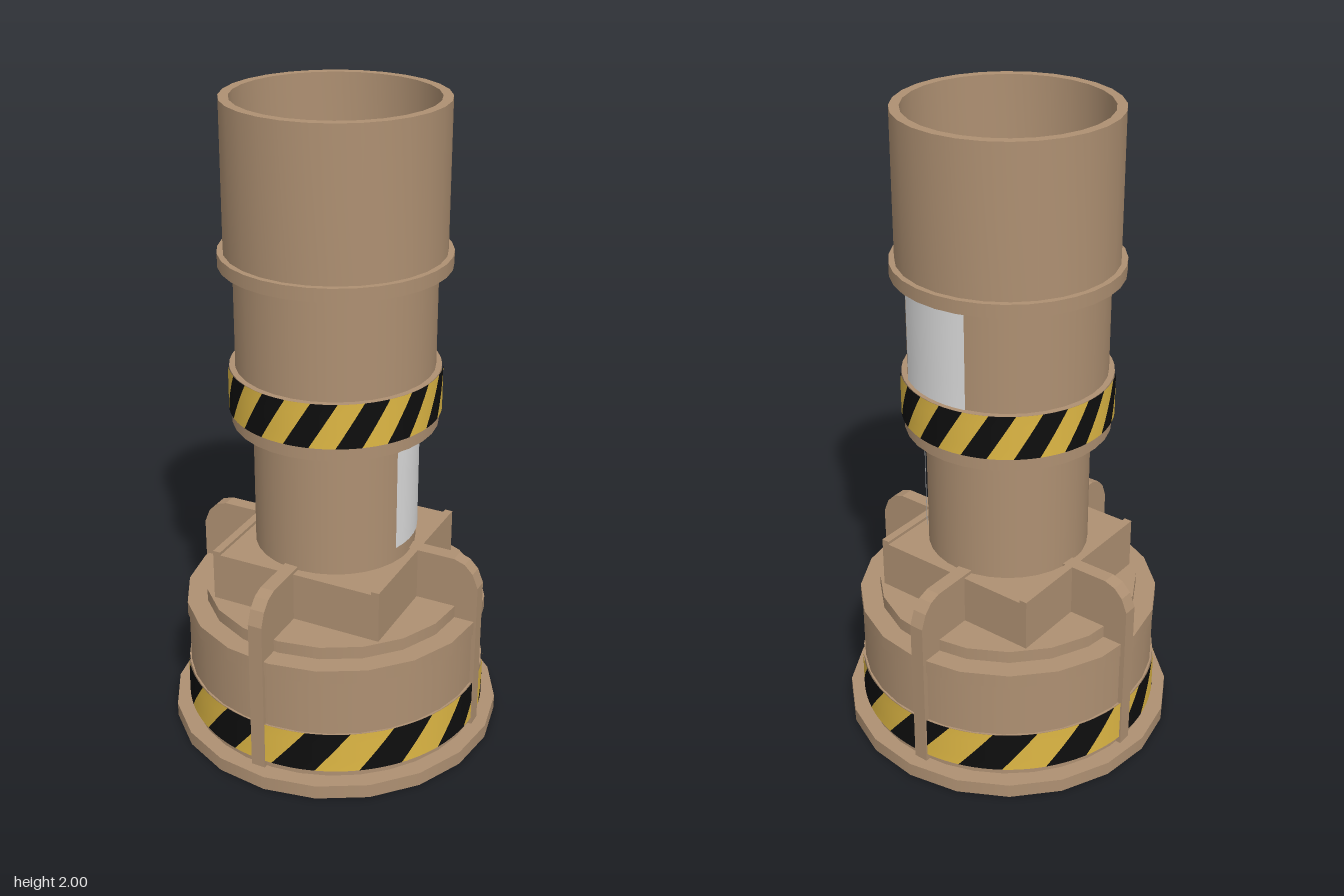
import * as THREE from 'three';
import { toCreasedNormals } from 'three/addons/utils/BufferGeometryUtils.js';

const paint = (name, color) => {
  const m = new THREE.MeshStandardMaterial({ color });
  m.name = name;
  return m;
};

export function createModel() {
  const tan = paint('tan metal', 0xae9072);
  const yellow = paint('hazard yellow', 0xdeb744);
  const black = paint('hazard black', 0x0e0e0e);
  const white = paint('label white', 0xdedede);
  const model = new THREE.Group();
  model.name = 'pipeColumn';

  const add = (name, geometry, material, parent = model) => {
    const mesh = new THREE.Mesh(geometry, material);
    mesh.name = name;
    parent.add(mesh);
    return mesh;
  };

  // Upright round part between two heights
  const round = (name, r, y0, y1, sides = 32) => {
    const g = new THREE.CylinderGeometry(r, r, y1 - y0, sides);
    g.rotateY(0.03).translate(0, (y0 + y1) / 2, 0);
    return add(name, g, tan);
  };

  // Plate wrapped round the axis; angles in degrees from the front towards +x, lean shears the top
  const wrap = (r, a0, a1, y0, y1, lean = 0) => {
    const g = new THREE.PlaneGeometry(1, 1, 8, 4);
    const p = g.attributes.position;
    for (let i = 0; i < p.count; i++) {
      const v = p.getY(i);
      const a = THREE.MathUtils.degToRad(a0 + (a1 - a0) * (p.getX(i) + 0.5) + lean * v);
      p.setXYZ(i, r * Math.sin(a), y0 + (y1 - y0) * (v + 0.5), r * Math.cos(a));
    }
    g.computeVertexNormals();
    return g;
  };

  // Hazard band of alternating slanted stripes
  const hazardBand = (name, r, y0, y1, count, phase, lean) => {
    const band = new THREE.Group();
    band.name = name;
    model.add(band);
    const step = 360 / count;
    for (let i = 0; i < count; i++) {
      const a = phase + i * step;
      add('blackStripe', wrap(r, a - step / 4, a + step / 4, y0, y1, lean), black, band);
      add('yellowStripe', wrap(r, a + step / 4, a + step * 0.75, y0, y1, lean), yellow, band);
    }
  };

  // Base and drum
  round('basePlate', 0.522, 0, 0.045, 20);
  round('drum', 0.468, 0.045, 0.38);
  round('drumRim', 0.474, 0.38, 0.425, 20);
  round('drumStep', 0.41, 0.425, 0.465, 20);
  round('lowerBandBacking', 0.473, 0.065, 0.2, 48);
  hazardBand('lowerHazardBand', 0.477, 0.068, 0.203, 11, 17, 13);

  // Square socket with slightly raised side walls
  add('socketBlock', new THREE.BoxGeometry(0.52, 0.16, 0.56).translate(0, 0.54, 0), tan);
  for (const s of [-1, 1]) {
    add('socketWall', new THREE.BoxGeometry(0.025, 0.168, 0.56).translate(s * 0.2675, 0.546, 0), tan);
  }

  // Four upright fins with chamfered shoulders
  const finShape = new THREE.Shape(
    [[0.24, 0.045], [0.48, 0.045], [0.48, 0.545], [0.462, 0.59], [0.435, 0.618], [0.4, 0.63], [0.24, 0.63]]
      .map(([x, y]) => new THREE.Vector2(x, y)));
  for (let i = 0; i < 4; i++) {
    const g = new THREE.ExtrudeGeometry(finShape, { depth: 0.045, bevelEnabled: false });
    g.translate(0, 0, -0.0225).rotateY(i * Math.PI / 2);
    // Fins along x shift in z, fins along z shift in x
    g.translate(i % 2 ? -0.025 : 0, 0, i % 2 ? 0 : -0.025);
    add('fin', g, tan);
  }

  // Stepped pipe
  round('lowerPipe', 0.25, 0.6, 1.03);
  round('collar', 0.312, 1.03, 1.075);
  round('upperBandBacking', 0.316, 1.07, 1.208, 48);
  hazardBand('upperHazardBand', 0.32, 1.072, 1.21, 13, 13, 15);
  round('middlePipe', 0.299, 1.2, 1.525);
  round('flange', 0.342, 1.52, 1.56);

  // Open top pipe with a floor inside
  const profile = [[0.325, 1.555], [0.325, 2], [0.296, 2], [0.296, 1.565], [0, 1.565]]
    .map(([x, y]) => new THREE.Vector2(x, y));
  add('topPipe', toCreasedNormals(new THREE.LatheGeometry(profile, 28), 0.7), tan);

  // White label plates
  add('lowerLabel', wrap(0.255, 72, 138, 0.67, 0.99), white);
  add('upperLabel', wrap(0.305, 145, 194, 1.21, 1.52), white);

  return model;
}
